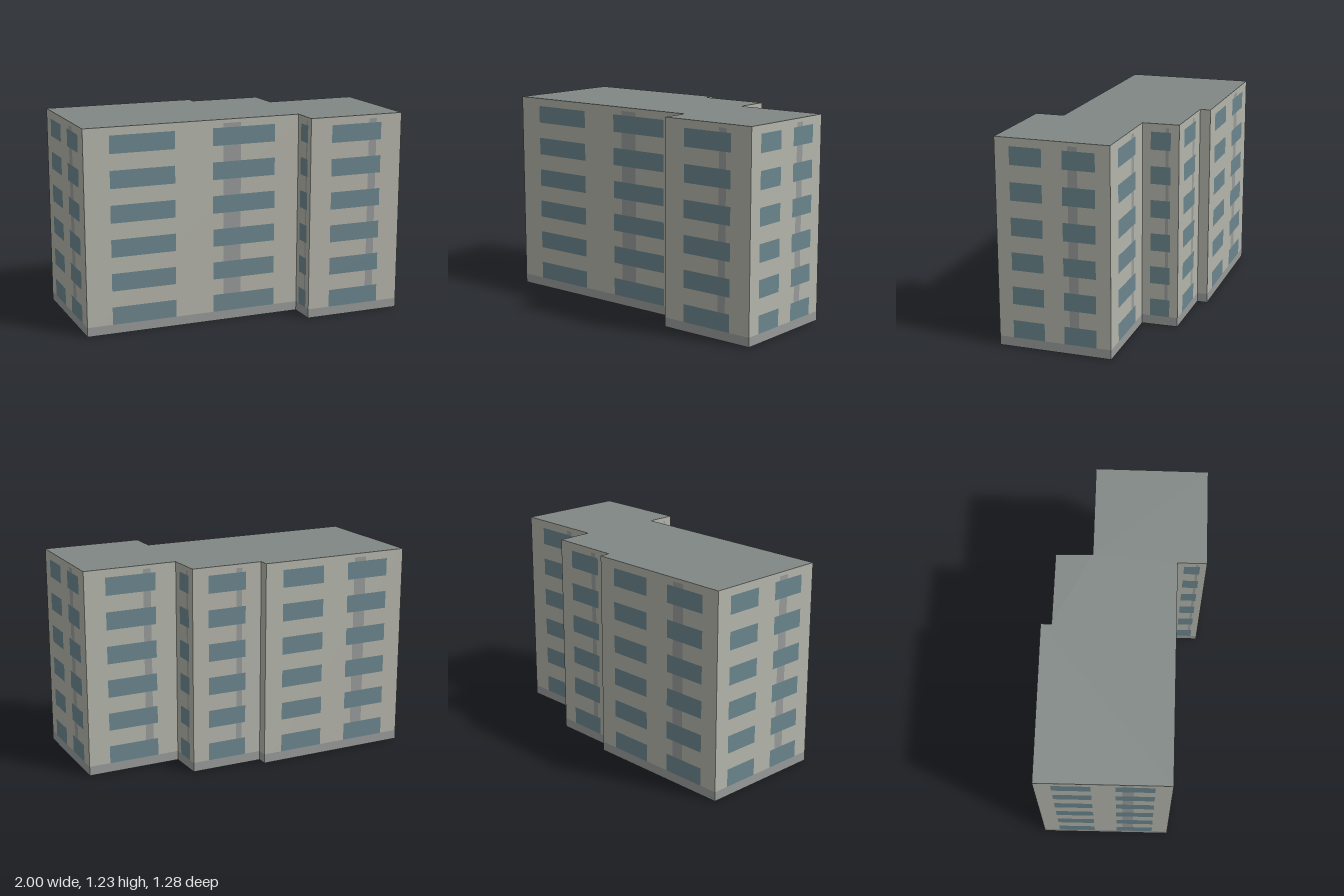
import * as THREE from 'three';

const HEIGHT = 1.228, PLINTH = 0.056, FLOORS = 6, PITCH = 0.2035, WINDOW_H = 0.106;

// Footprint corners (x, z), each wall running left to right as seen from outside
const PLAN = [
  [-1, 0.125], [0.316, 0.362], [0.286, 0.532], [0.878, 0.64], [1, -0.022],
  [0.442, -0.12], [0.475, -0.335], [0.045, -0.415], [0.056, -0.477], [-0.868, -0.641],
];

const paint = (color, side = THREE.FrontSide) => new THREE.MeshStandardMaterial({ color, side, roughness: 0.9 });

export function createModel() {
  const model = new THREE.Group();
  model.name = 'apartmentBlock';
  const wallMat = paint(0xb3b4ab, THREE.DoubleSide), roofMat = paint(0x808784, THREE.DoubleSide);
  const glassMat = paint(0x6b858d), trimMat = paint(0x989a9a);

  const add = (parent, name, geometry, material) => {
    const mesh = new THREE.Mesh(geometry, material);
    mesh.name = name;
    parent.add(mesh);
    return mesh;
  };

  // Flat roof; the shell below it is hollow and open at the bottom
  const outline = new THREE.Shape(PLAN.map(([x, z]) => new THREE.Vector2(x, -z)));
  const roof = new THREE.ShapeGeometry(outline).rotateX(-Math.PI / 2);
  add(model, 'roof', roof, roofMat).position.y = HEIGHT;

  PLAN.forEach(([x0, z0], i) => {
    const [x1, z1] = PLAN[(i + 1) % PLAN.length];
    const length = Math.hypot(x1 - x0, z1 - z0);

    // Local frame of the wall: x along it, z outward
    const facade = new THREE.Group();
    facade.name = 'facade' + (i + 1);
    facade.position.set(x0, 0, z0);
    facade.rotation.y = Math.atan2(z0 - z1, x1 - x0);
    model.add(facade);

    // Flat panel given by fractions of the wall length and a height range
    const panel = (name, a, b, y0, y1, out, material) => {
      const mesh = add(facade, name, new THREE.PlaneGeometry((b - a) * length, y1 - y0), material);
      mesh.position.set((a + b) / 2 * length, (y0 + y1) / 2, out);
    };

    panel('wall', 0, 1, 0, HEIGHT, 0, wallMat);
    panel('plinth', 0, 1, 0, PLINTH, 0.0005, trimMat);
    if (length < 0.1) return;

    // Vertical stripe running behind the windows
    panel('stripe', 0.637, 0.72, PLINTH, 1.205, 0.0005, trimMat);

    // Long walls carry two windows per floor, short walls one
    const edge = 0.102 + 0.018 / length;
    const spans = length > 0.64 ? [[edge, 0.411], [0.588, 1 - edge]] : [[0.228, 0.773]];
    for (let f = 0; f < FLOORS; f++) {
      const y = PLINTH + f * PITCH;
      for (const [a, b] of spans) panel('window', a, b, y, y + WINDOW_H, 0.001, glassMat);
    }
  });

  return model;
}
